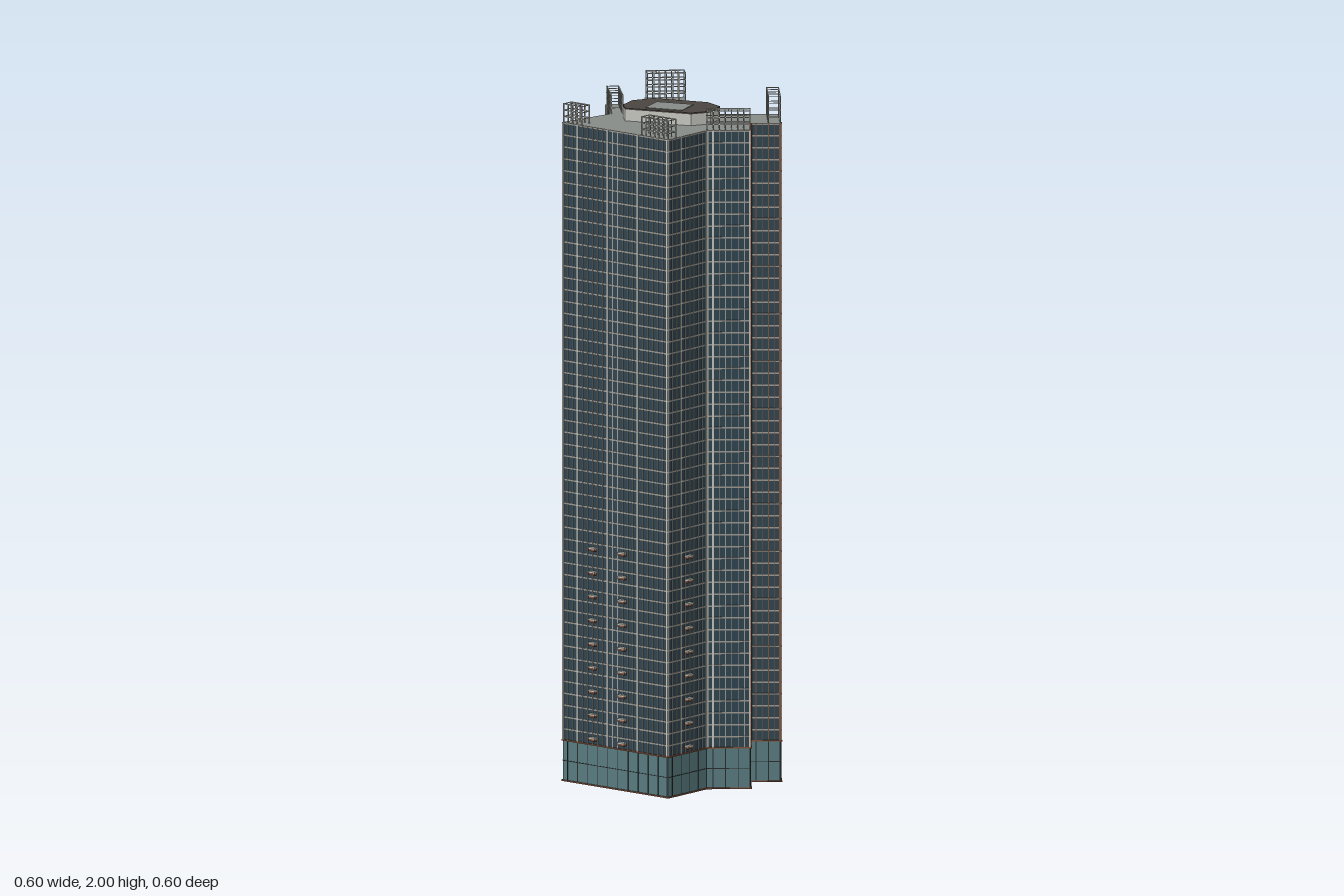
import * as THREE from 'three';
import { mergeGeometries } from 'three/addons/utils/BufferGeometryUtils.js';

const ROOF = 1.92, PODIUM = 0.12, FLOORS = 52;

// Footprint corners [x, z], walked with the outside on the left
const plan = [
  [-0.10, -0.30], [-0.03, -0.136], [0.077, -0.103], [0.242, -0.161], [0.294, -0.04],
  [0.21, -0.01], [0.248, 0.083], [0.132, 0.132], [0.077, 0.297], [-0.295, 0.166],
  [-0.21, 0.005], [-0.27, -0.117], [-0.178, -0.17], [-0.20, -0.25],
];
const plainWalls = [1, 4, 5, 11, 12]; // recessed walls with thin brown mullions

const mat = (color) => new THREE.MeshStandardMaterial({ color });
const mats = {
  glass: mat(0x30444f), podium: mat(0x587b80), frame: mat(0x9d9a92), brown: mat(0x80523c),
  dark: mat(0x2a2b2b), roof: mat(0x868b88), cap: mat(0x4a4540), white: mat(0xc4c4be),
};

function prism(points, y0, y1) {
  const shape = new THREE.Shape(points.map(([x, z]) => new THREE.Vector2(x, -z)));
  const g = new THREE.ExtrudeGeometry(shape, { depth: y1 - y0, bevelEnabled: false });
  return g.rotateX(-Math.PI / 2).translate(0, y0, 0);
}

const edges = plan.map((p, i) => {
  const q = plan[(i + 1) % plan.length];
  const dx = q[0] - p[0], dz = q[1] - p[1], len = Math.hypot(dx, dz);
  return { p, len, dx: dx / len, dz: dz / len };
});

// Box placed on a wall: s along the edge, inward is the distance behind the wall face
function wallBox(e, s, y, inward, w, h, d) {
  return new THREE.BoxGeometry(w, h, d)
    .rotateY(Math.atan2(-e.dz, e.dx))
    .translate(e.p[0] + e.dx * s - e.dz * inward, y, e.p[1] + e.dz * s + e.dx * inward);
}

export function createModel() {
  const model = new THREE.Group();
  const add = (parent, name, geo, material) => {
    const mesh = new THREE.Mesh(Array.isArray(geo) ? mergeGeometries(geo) : geo, material);
    mesh.name = name;
    parent.add(mesh);
  };

  // Solid masses
  add(model, 'podium', prism(plan, 0.003, PODIUM), mats.podium);
  add(model, 'baseSlab', prism(plan, 0, 0.003), mats.dark);
  add(model, 'towerGlass', prism(plan, PODIUM, ROOF - 0.005), mats.glass);
  add(model, 'roofSlab', prism(plan, ROOF - 0.005, ROOF), mats.roof);

  // Window grid of every wall
  const facades = new THREE.Group();
  facades.name = 'facades';
  model.add(facades);
  const pitch = (ROOF - PODIUM) / FLOORS, mid = (ROOF + PODIUM) / 2, tall = ROOF - PODIUM;
  edges.forEach((e, i) => {
    const plain = plainWalls.includes(i);
    const floorBars = [], mullions = [], piers = [], belts = [], podiumBars = [];
    for (let f = 1; f <= FLOORS; f++) {
      floorBars.push(wallBox(e, e.len / 2, PODIUM + f * pitch - 0.002, 0, e.len, 0.004, 0.003));
    }
    const n = Math.max(4, Math.round(e.len / 0.019));
    for (let k = 0; k <= n; k++) {
      const s = THREE.MathUtils.clamp((k / n) * e.len, 0.003, e.len - 0.003);
      if (k % 6 === 0 || k === n) piers.push(wallBox(e, s, mid, 0, 0.005, tall, 0.006));
      else mullions.push(wallBox(e, s, mid, 0, 0.002, tall, 0.004));
      if (k % 2 === 0) podiumBars.push(wallBox(e, s, PODIUM / 2, 0, 0.002, PODIUM, 0.003));
    }
    podiumBars.push(wallBox(e, e.len / 2, 0.06, 0, e.len, 0.002, 0.003));
    for (const y of [0.002, PODIUM]) {
      belts.push(wallBox(e, e.len / 2, y, 0, e.len + 0.002, 0.004, 0.007));
    }
    add(facades, 'floorBars', floorBars, mats.frame);
    add(facades, 'mullions', mullions, plain ? mats.brown : mats.frame);
    add(facades, 'piers', piers, plain ? mats.brown : mats.white);
    add(facades, 'belts', belts, mats.brown);
    add(facades, 'podiumMullions', podiumBars, mats.dark);
  });

  // Stacks of small ledges on the lower floors: [edge, x, z]
  const ledges = [], ledgeTrims = [];
  for (const [i, x, z] of [[8, -0.185, 0.205], [8, -0.082, 0.241], [9, -0.257, 0.083], [7, 0.108, 0.214]]) {
    const e = edges[i];
    const s = (x - e.p[0]) * e.dx + (z - e.p[1]) * e.dz;
    for (let k = 0; k < 9; k++) {
      const y = 0.135 + k * pitch * 2;
      ledges.push(wallBox(e, s, y, -0.005, 0.024, 0.006, 0.012));
      ledgeTrims.push(wallBox(e, s, y + 0.005, -0.005, 0.025, 0.004, 0.013));
    }
  }
  add(model, 'ledges', ledges, mats.brown);
  add(model, 'ledgeTrims', ledgeTrims, mats.white);

  // Lattice crowns on the roof: [edge, start, end, depth, height]
  const crowns = [
    [13, 0, 1, 0.04, 0.08], [3, 0, 1, 0.036, 0.08], [6, 0, 1, 0.035, 0.057],
    [10, 0, 1, 0.035, 0.055], [8, 0, 0.26, 0.036, 0.055], [8, 0.82, 1, 0.035, 0.055],
  ];
  for (const [i, t0, t1, depth, height] of crowns) {
    const e = edges[i], a = t0 * e.len, w = (t1 - t0) * e.len, bars = [];
    const rows = Math.round(height / 0.02), cols = Math.round(w / 0.018);
    for (const inward of [0.002, depth]) {
      for (let r = 1; r <= rows; r++) {
        bars.push(wallBox(e, a + w / 2, ROOF + (r / rows) * height - 0.0015, inward, w, 0.003, 0.003));
      }
      for (let c = 0; c <= cols; c++) {
        const s = a + 0.0015 + (c / cols) * (w - 0.003);
        bars.push(wallBox(e, s, ROOF + height / 2, inward, 0.0025, height, 0.003));
      }
    }
    // ties between the two screens, closed lattice at both ends
    for (let c = 0; c <= 4; c++) {
      const s = a + 0.0015 + (c / 4) * (w - 0.003);
      for (let r = 1; r <= rows; r++) {
        if (r < rows && c % 4) continue;
        bars.push(wallBox(e, s, ROOF + (r / rows) * height - 0.0015, depth / 2, 0.002, 0.002, depth));
      }
    }
    add(model, 'roofLattice', bars, mats.white);
  }

  // Octagonal plant room
  const octagon = [
    [-0.112, -0.08], [0.055, -0.08], [0.109, -0.037], [0.109, 0.041],
    [0.066, 0.085], [-0.136, 0.085], [-0.158, 0.041], [-0.158, -0.027],
  ];
  add(model, 'plantRoom', prism(octagon, ROOF, 1.953), mats.white);
  add(model, 'plantRoomCap', prism(octagon, 1.953, 1.957), mats.cap);
  const hatch = new THREE.BoxGeometry(0.112, 0.004, 0.092).translate(-0.025, 1.957, 0.019);
  add(model, 'plantRoomHatch', hatch, mats.roof);

  return model;
}
